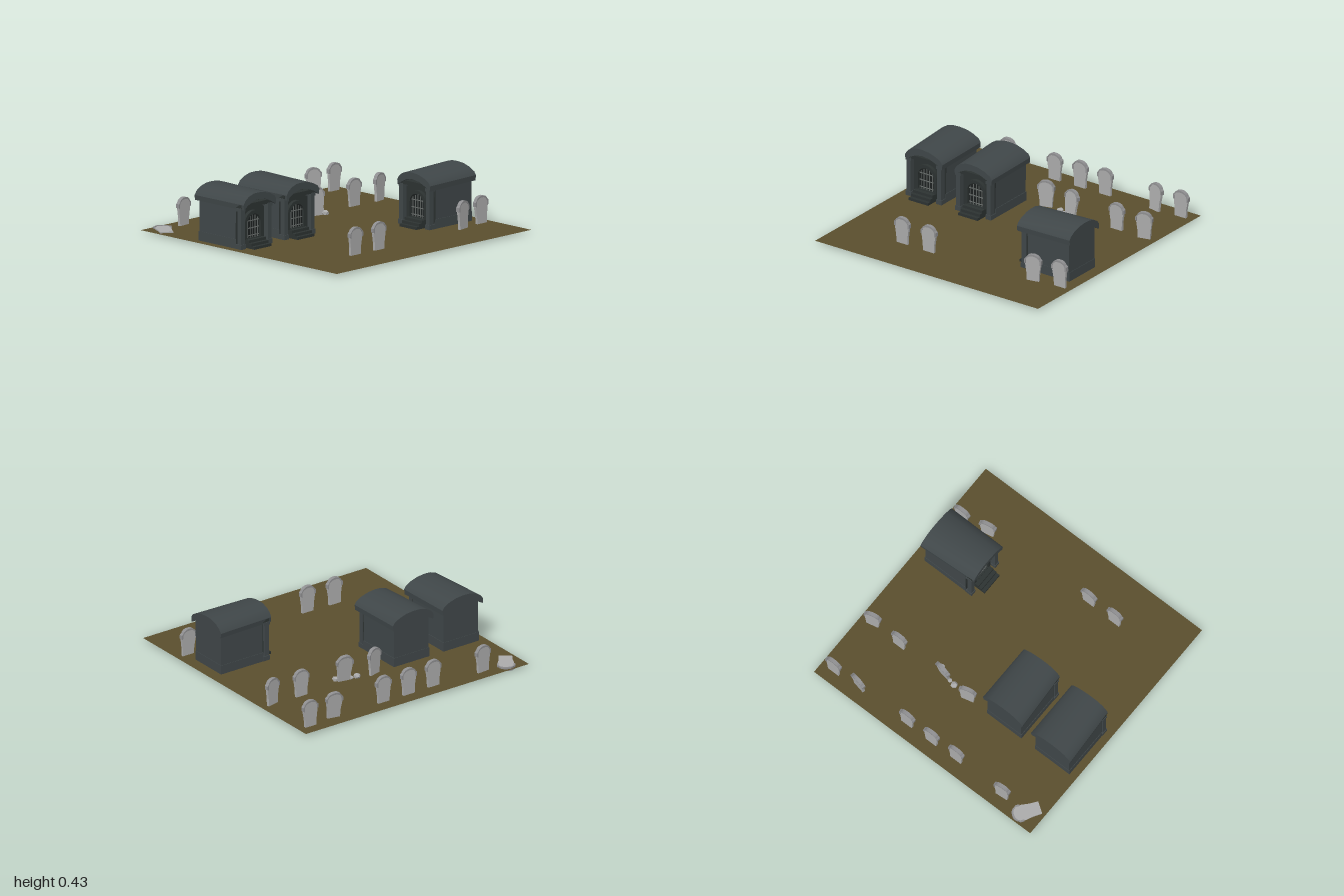
import * as THREE from 'three';
import { toCreasedNormals } from 'three/addons/utils/BufferGeometryUtils.js';

const GROUND = 0.015;

function material(name, color, side = THREE.FrontSide) {
  const m = new THREE.MeshStandardMaterial({ color, side });
  m.name = name;
  return m;
}

function createMaterials() {
  return {
    earth: material('earth', 0x5a4e2d, THREE.DoubleSide),
    slate: material('slate', 0x3f4648),
    darkSlate: material('dark slate', 0x2c3231),
    recess: material('door shadow', 0x1c2020),
    iron: material('iron', 0x666b69),
    stone: material('gravestone', 0xaaaaaa),
    rim: material('gravestone rim', 0x8e8e90),
  };
}

function add(parent, name, geometry, mat, x = 0, y = 0, z = 0) {
  const mesh = new THREE.Mesh(geometry, mat);
  mesh.name = name;
  mesh.position.set(x, y, z);
  parent.add(mesh);
  return mesh;
}

// Box given by its limits on each axis
function block(parent, name, mat, [x0, x1], [y0, y1], [z0, z1]) {
  return add(parent, name, new THREE.BoxGeometry(x1 - x0, y1 - y0, z1 - z0), mat,
    (x0 + x1) / 2, (y0 + y1) / 2, (z0 + z1) / 2);
}

function extrude(shape, z0, z1, curveSegments = 8) {
  return new THREE.ExtrudeGeometry(shape, { depth: z1 - z0, bevelEnabled: false, curveSegments })
    .translate(0, 0, z0);
}

// Round-headed opening: straight sides up to the spring line, then a half circle
function archOutline(target, r, bottom, spring) {
  target.moveTo(-r, bottom);
  target.lineTo(r, bottom);
  target.lineTo(r, spring);
  target.absarc(0, spring, r, 0, Math.PI, false);
  target.lineTo(-r, bottom);
  return target;
}

// Barrel roof, a little narrower on one front corner
function roofGeometry() {
  const outer = [[0.182, 0.355], [0.165, 0.38], [0.12, 0.405], [0.06, 0.423], [0, 0.429],
    [-0.06, 0.427], [-0.12, 0.41], [-0.16, 0.385], [-0.182, 0.355]];
  const inner = [[-0.178, 0.318], [-0.13, 0.345], [-0.07, 0.37], [0, 0.38],
    [0.07, 0.37], [0.13, 0.345], [0.178, 0.315]];
  const shape = new THREE.Shape([...outer, ...inner].map(([x, y]) => new THREE.Vector2(x, y)));
  const geo = extrude(shape, -0.237, 0.235);
  const p = geo.attributes.position;
  for (let i = 0; i < p.count; i++) {
    const front = (p.getZ(i) + 0.237) / 0.472;
    const x = p.getX(i);
    if (x < 0) p.setX(i, x * (1 - 0.16 * front));
    p.setY(i, p.getY(i) - 0.008 * front);
  }
  return toCreasedNormals(geo, 0.6);
}

function createMausoleum(m) {
  const g = new THREE.Group();

  // Walls with an arched gable under the roof
  const wall = new THREE.Shape([[-0.155, GROUND], [0.155, GROUND], [0.16, 0.33], [0.08, 0.375],
    [0, 0.385], [-0.08, 0.375], [-0.152, 0.33]].map(([x, y]) => new THREE.Vector2(x, y)));
  add(g, 'walls', extrude(wall, -0.215, 0.155), m.slate);
  add(g, 'frontWall', extrude(wall, 0.155, 0.163), m.darkSlate);
  block(g, 'plinth', m.slate, [-0.158, 0.16], [GROUND, 0.085], [-0.218, 0.16]);
  add(g, 'roof', roofGeometry(), m.slate);

  // Porch pillars and the beam across them
  for (const side of [-1, 1]) {
    const x = side * 0.137;
    block(g, 'pillar', m.slate, [x - 0.019, x + 0.019], [GROUND, 0.32], [0.175, 0.213]);
    block(g, 'pillarBase', m.slate, [x - 0.024, x + 0.024], [GROUND, 0.05], [0.163, 0.218]);
    block(g, 'pillarCapital', m.slate, [x - 0.023, x + 0.023], [0.295, 0.32], [0.163, 0.217]);
  }
  block(g, 'beam', m.darkSlate, [-0.155, 0.158], [0.315, 0.345], [0.16, 0.215]);

  // Arched door surround, dark opening and barred gate
  const frame = archOutline(new THREE.Shape(), 0.095, 0.075, 0.185);
  frame.holes.push(archOutline(new THREE.Path(), 0.07, 0.08, 0.185));
  add(g, 'doorSurround', toCreasedNormals(extrude(frame, 0.16, 0.19, 12), 0.6), m.darkSlate);
  const opening = archOutline(new THREE.Shape(), 0.071, 0.076, 0.185);
  add(g, 'doorOpening', extrude(opening, 0.16, 0.167, 12), m.recess);

  const gate = new THREE.Group();
  gate.name = 'gate';
  g.add(gate);
  for (let i = -2; i <= 2; i++) {
    const x = i * 0.025;
    const top = 0.18 + Math.sqrt(0.066 ** 2 - x * x);
    add(gate, 'gateBar', new THREE.CylinderGeometry(0.003, 0.003, top - 0.08, 6), m.iron,
      x, (top + 0.08) / 2, 0.176);
  }
  for (const y of [0.095, 0.15, 0.205]) {
    block(gate, 'gateRail', m.iron, [-0.065, 0.065], [y - 0.003, y + 0.003], [0.173, 0.178]);
  }

  // Entrance steps
  for (let i = 0; i < 3; i++) {
    block(g, 'step', m.darkSlate, [-0.087, 0.087],
      [GROUND, 0.035 + i * 0.02], [0.16, 0.28 - i * 0.028]);
  }
  return g;
}

function gravestoneGeometries() {
  const s = new THREE.Shape();
  s.moveTo(-0.049, -0.005);
  s.lineTo(0.049, -0.005);
  s.lineTo(0.051, 0.06);
  s.lineTo(0.061, 0.125);
  s.lineTo(0.061, 0.16);
  s.quadraticCurveTo(0.05, 0.2, 0, 0.2);
  s.quadraticCurveTo(-0.05, 0.2, -0.061, 0.16);
  s.lineTo(-0.061, 0.125);
  s.lineTo(-0.051, 0.06);

  // Rim hugging the rounded head
  const r = new THREE.Shape();
  r.moveTo(0.055, 0.13);
  r.lineTo(0.067, 0.135);
  r.lineTo(0.067, 0.165);
  r.lineTo(0.054, 0.178);
  r.quadraticCurveTo(0.042, 0.207, 0, 0.208);
  r.quadraticCurveTo(-0.042, 0.207, -0.054, 0.178);
  r.lineTo(-0.067, 0.165);
  r.lineTo(-0.067, 0.135);
  r.lineTo(-0.055, 0.13);
  r.lineTo(-0.055, 0.16);
  r.quadraticCurveTo(-0.045, 0.193, 0, 0.194);
  r.quadraticCurveTo(0.045, 0.193, 0.055, 0.16);
  return { slab: extrude(s, -0.01, 0.01), rim: extrude(r, -0.014, 0.014) };
}

export function createModel() {
  const m = createMaterials();
  const model = new THREE.Group();
  model.name = 'graveyard';

  add(model, 'ground', new THREE.PlaneGeometry(2, 2).rotateX(-Math.PI / 2), m.earth, 0, GROUND, 0);

  // Three mausoleums: x, z, turn
  for (const [x, z, turn] of [[-0.782, -0.25, 0], [-0.338, -0.25, 0], [0.688, 0.328, -Math.PI / 2]]) {
    const house = createMausoleum(m);
    house.name = 'mausoleum';
    house.position.set(x, 0, z);
    house.rotation.y = turn;
    model.add(house);
  }

  // Gravestones: x, z, turn, lean back, sideways tilt
  const { slab, rim } = gravestoneGeometries();
  const placeStone = (name, x, z, turn = 0, lean = 0, tilt = 0) => {
    const stone = new THREE.Group();
    stone.name = name;
    add(stone, 'slab', slab, m.stone);
    add(stone, 'rim', rim, m.rim);
    stone.position.set(x, GROUND, z);
    stone.rotation.set(lean, turn, tilt, 'YXZ');
    model.add(stone);
    return stone;
  };
  const stones = [
    [-0.66, -0.9, 0.08], [-0.225, -0.885], [0, -0.89], [0.225, -0.89],
    [0.67, -0.885, -0.2, -0.1], [0.89, -0.905, 0, 0, -0.03],
    [0, -0.47, 0.25], [0.245, -0.43, -0.18, -0.12], [0.645, -0.455], [0.897, -0.447, 0.22],
    [-0.465, 0.655, 0, 0.03], [-0.225, 0.66], [0.68, 0.62, 0.2], [0.9, 0.59, 0, 0, 0.04],
  ];
  for (const args of stones) placeStone('gravestone', ...args);

  // Stone lying flat with its head toward the corner
  const fallen = placeStone('fallenGravestone', -0.932, -0.805, -0.6, -Math.PI / 2);
  fallen.position.y = 0.014;

  // Rubble beside the broken stone: x, z, size
  for (const [x, z, s] of [[0.14, -0.45, 0.027], [0.185, -0.44, 0.018], [0.295, -0.4, 0.027]]) {
    const rock = add(model, 'rubble', new THREE.DodecahedronGeometry(s), m.stone, x, GROUND + s * 0.5, z);
    rock.scale.y = 0.8;
    rock.rotation.y = x * 9;
  }
  return model;
}
